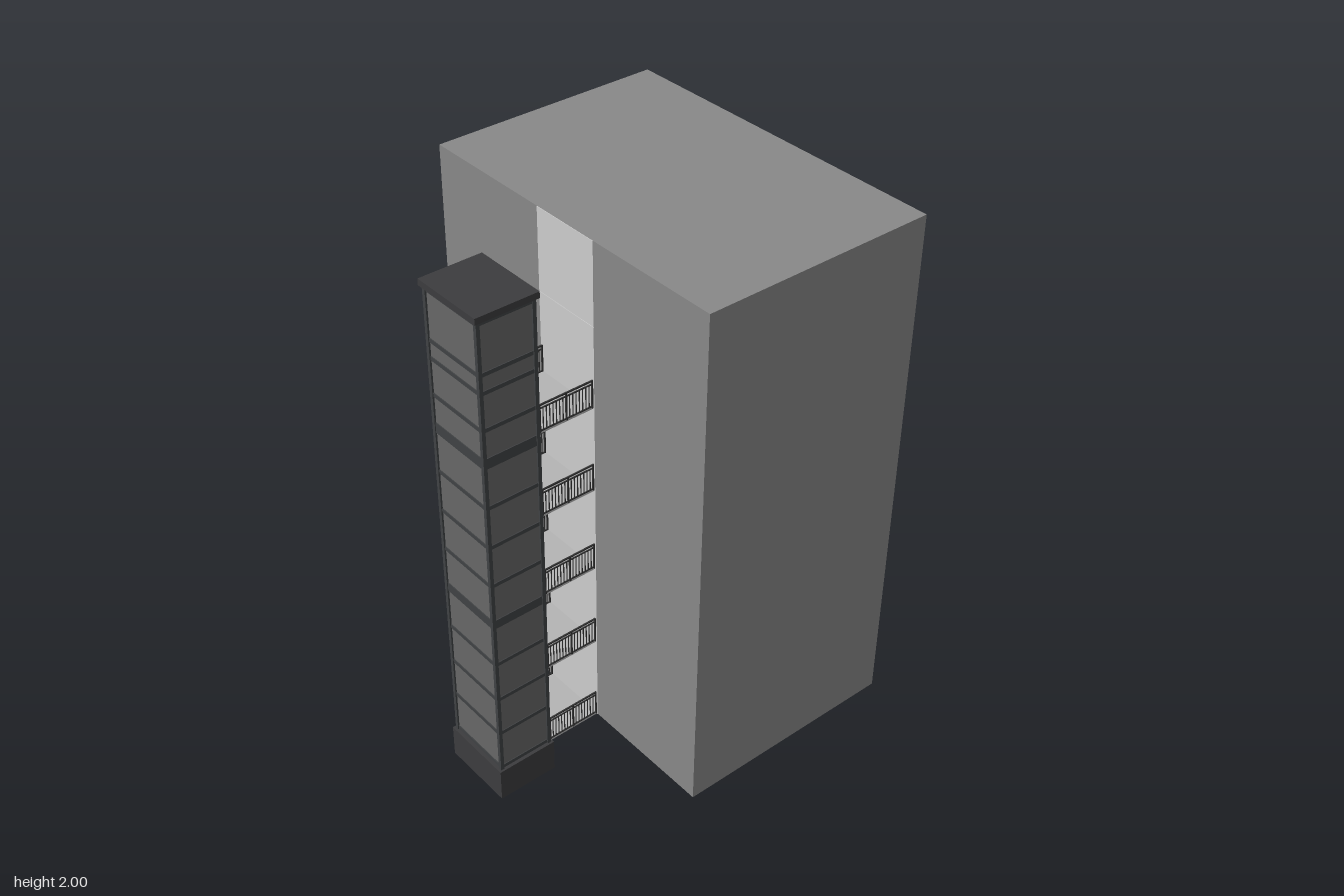
import * as THREE from 'three';

const mat = (color) => new THREE.MeshStandardMaterial({ color });
const wallGrey = mat(0x888888), darkGrey = mat(0x3c3c3e), frameGrey = mat(0x404244);
const panelGrey = mat(0x666666), floorGrey = mat(0xb4b4b4), railGrey = mat(0x333333), lightGrey = mat(0xd8d8d8);

// Box given by its min and max corners
function box(parent, name, material, [x0, y0, z0], [x1, y1, z1]) {
  const mesh = new THREE.Mesh(new THREE.BoxGeometry(x1 - x0, y1 - y0, z1 - z0), material);
  mesh.position.set((x0 + x1) / 2, (y0 + y1) / 2, (z0 + z1) / 2);
  mesh.name = name;
  parent.add(mesh);
  return mesh;
}

function group(parent, name) {
  const g = new THREE.Group();
  g.name = name;
  parent.add(g);
  return g;
}

const LEVELS = [0.128, 0.465, 0.785, 1.105, 1.42];

// Main block with a pale entrance strip facing the tower
function addBuilding(parent) {
  const g = group(parent, 'building');
  box(g, 'mainBlock', wallGrey, [-0.207, 0.125, -0.625], [0.63, 2, 0.625]);
  box(g, 'entranceStrip', lightGrey, [-0.209, 0.125, -0.13], [-0.207, 1.71, 0.13]);
  box(g, 'upperStrip', lightGrey, [-0.209, 1.712, -0.13], [-0.207, 2, 0.13]);
}

// Lift tower: base, glazed shaft, corner posts, bands and cap
function addTower(parent) {
  const g = group(parent, 'liftTower');
  const x0 = -0.622, x1 = -0.413, z = 0.13;
  box(g, 'towerBase', darkGrey, [-0.63, 0, -0.137], [-0.405, 0.125, 0.137]);
  box(g, 'towerCap', darkGrey, [-0.63, 1.893, -0.137], [-0.405, 1.915, 0.137]);
  box(g, 'shaftPanels', panelGrey, [x0 + 0.006, 0.125, -z + 0.006], [x1 - 0.006, 1.893, z - 0.006]);

  for (const x of [x0, x1 - 0.013])
    for (const pz of [-z, z - 0.013])
      box(g, 'cornerPost', frameGrey, [x, 0.125, pz], [x + 0.013, 1.893, pz + 0.013]);

  const bands = [0.135, 0.292, 0.445, 0.6, 0.93, 1.083, 1.235, 1.52, 1.65, 1.713, 1.885];
  const addBand = (y, h) =>
    box(g, 'band', frameGrey, [x0 + 0.003, y - h / 2, -z + 0.003], [x1 - 0.003, y + h / 2, z - 0.003]);
  bands.forEach((y) => addBand(y, 0.014));
  addBand(0.77, 0.034);
  addBand(1.4, 0.038);

  // Door surrounds at each landing
  for (const y of LEVELS) {
    const door = group(g, 'landingDoor');
    for (const s of [-0.08, 0.07])
      box(door, 'doorJamb', frameGrey, [x1 - 0.008, y, s], [x1 + 0.003, y + 0.23, s + 0.01]);
    box(door, 'doorLintel', frameGrey, [x1 - 0.008, y + 0.22, -0.08], [x1 + 0.003, y + 0.23, 0.08]);
  }
}

// Walkway with a railing along each side
function addBridge(parent, y) {
  const g = group(parent, 'bridge');
  const x0 = -0.413, x1 = -0.207;
  box(g, 'walkway', floorGrey, [x0, y - 0.003, -0.125], [x1, y + 0.004, 0.125]);
  for (const s of [-1, 1]) {
    const rail = group(g, 'railing');
    const z = s * 0.123;
    const bar = (name, ya, r) => box(rail, name, railGrey, [x0, ya - r, z - r], [x1, ya + r, z + r]);
    bar('handrail', y + 0.099, 0.0025);
    bar('upperRail', y + 0.087, 0.002);
    bar('lowerRail', y + 0.006, 0.002);
    const count = 16;
    for (let i = 0; i <= count; i++) {
      const x = x0 + 0.004 + (i / count) * (x1 - x0 - 0.008);
      const post = i % 8 === 0;
      const r = post ? 0.0025 : 0.0013;
      box(rail, post ? 'railPost' : 'baluster', railGrey,
        [x - r, y, z - r], [x + r, y + (post ? 0.099 : 0.087), z + r]);
    }
  }
}

export function createModel() {
  const model = new THREE.Group();
  model.name = 'buildingWithLiftTower';
  addBuilding(model);
  addTower(model);
  LEVELS.forEach((y) => addBridge(model, y));
  return model;
}
